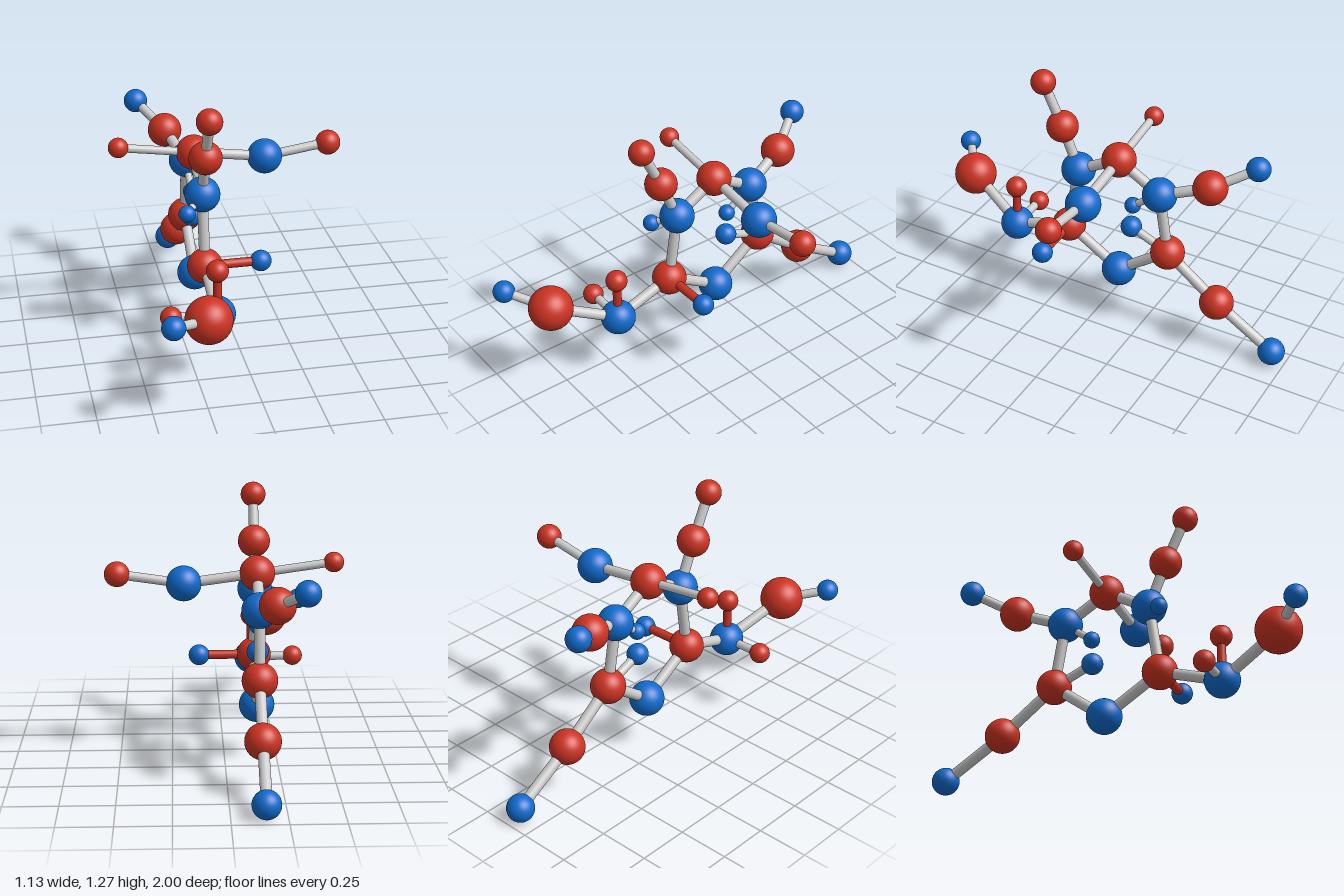
import * as THREE from 'three';

const red = new THREE.MeshStandardMaterial({ color: 0xcc3322 });
const blue = new THREE.MeshStandardMaterial({ color: 0x0f6acc });
const grey = new THREE.MeshStandardMaterial({ color: 0xcccccc });

// Atoms: [x, y, z, radius, material]
const X = -0.155;
const atoms = {
  // six-membered ring
  ringFront: [X, 0.783, 0.134, 0.084, blue],
  ringTop: [X, 0.906, -0.087, 0.084, red],
  ringBack: [X, 0.778, -0.307, 0.084, blue],
  ringLowerBack: [X, 0.46, -0.36, 0.084, red],
  ringBottom: [X, 0.265, -0.095, 0.085, blue],
  ringLowerFront: [X, 0.438, 0.188, 0.084, red],
  // upper front branch
  upperInner: [X, 1.0, 0.222, 0.078, red],
  upperTip: [X, 1.214, 0.325, 0.061, red],
  frontStub: [-0.243, 0.73, 0.224, 0.04, blue],
  // side branches of the top atom
  sideRight: [-0.515, 0.957, -0.087, 0.048, red],
  sideLeft: [0.191, 0.859, -0.087, 0.084, blue],
  sideLeftTip: [0.504, 0.905, -0.087, 0.06, red],
  // upper back branch
  backInner: [-0.222, 0.854, -0.537, 0.084, red],
  backTip: [-0.34, 0.951, -0.724, 0.059, blue],
  backStub: [X, 0.671, -0.165, 0.04, blue],
  // lower back branch
  tailInner: [X, 0.257, -0.632, 0.084, red],
  tailTip: [X, 0.073, -0.934, 0.066, blue],
  tailStub: [X, 0.544, -0.16, 0.052, blue],
  // lower front branch
  lowerSide: [0.116, 0.437, 0.184, 0.051, blue],
  frontInner: [X, 0.341, 0.494, 0.084, blue],
  frontUp: [X, 0.56, 0.494, 0.052, red],
  frontSide: [-0.37, 0.346, 0.494, 0.05, red],
  frontLarge: [-0.253, 0.485, 0.804, 0.107, red],
  frontTip: [-0.431, 0.541, 0.947, 0.053, blue],
};

// Bonds: [from, to, radius, material]
const bonds = [
  ['ringFront', 'ringTop', 0.026], ['ringTop', 'ringBack', 0.026],
  ['ringBack', 'ringLowerBack', 0.026], ['ringLowerBack', 'ringBottom', 0.026],
  ['ringBottom', 'ringLowerFront', 0.026], ['ringLowerFront', 'ringFront', 0.026],
  ['ringFront', 'upperInner', 0.025], ['upperInner', 'upperTip', 0.024],
  ['ringFront', 'frontStub', 0.017],
  ['ringTop', 'sideRight', 0.02], ['ringTop', 'sideLeft', 0.024],
  ['sideLeft', 'sideLeftTip', 0.022],
  ['ringBack', 'backInner', 0.026], ['backInner', 'backTip', 0.023],
  ['ringBack', 'backStub', 0.017],
  ['ringLowerBack', 'tailInner', 0.026], ['tailInner', 'tailTip', 0.026],
  ['ringLowerBack', 'tailStub', 0.021],
  ['ringLowerFront', 'lowerSide', 0.022, red],
  ['ringLowerFront', 'frontInner', 0.026],
  ['frontInner', 'frontUp', 0.021, red], ['frontInner', 'frontSide', 0.021],
  ['frontInner', 'frontLarge', 0.026], ['frontLarge', 'frontTip', 0.022],
];

const centre = (name) => new THREE.Vector3(...atoms[name].slice(0, 3));

export function createModel() {
  const model = new THREE.Group();
  model.name = 'ballAndStickMolecule';

  // Balls
  for (const [name, [, , , radius, material]] of Object.entries(atoms)) {
    const ball = new THREE.Mesh(new THREE.SphereGeometry(radius, 40, 24), material);
    ball.name = name + 'Atom';
    ball.position.copy(centre(name));
    model.add(ball);
  }

  // Sticks, each running from centre to centre
  const up = new THREE.Vector3(0, 1, 0);
  for (const [from, to, radius, material = grey] of bonds) {
    const a = centre(from), b = centre(to);
    const dir = b.clone().sub(a);
    const stick = new THREE.Mesh(
      new THREE.CylinderGeometry(radius, radius, dir.length(), 24), material);
    stick.name = from + 'To' + to[0].toUpperCase() + to.slice(1) + 'Bond';
    stick.position.copy(a).add(b).multiplyScalar(0.5);
    stick.quaternion.setFromUnitVectors(up, dir.normalize());
    model.add(stick);
  }
  return model;
}
